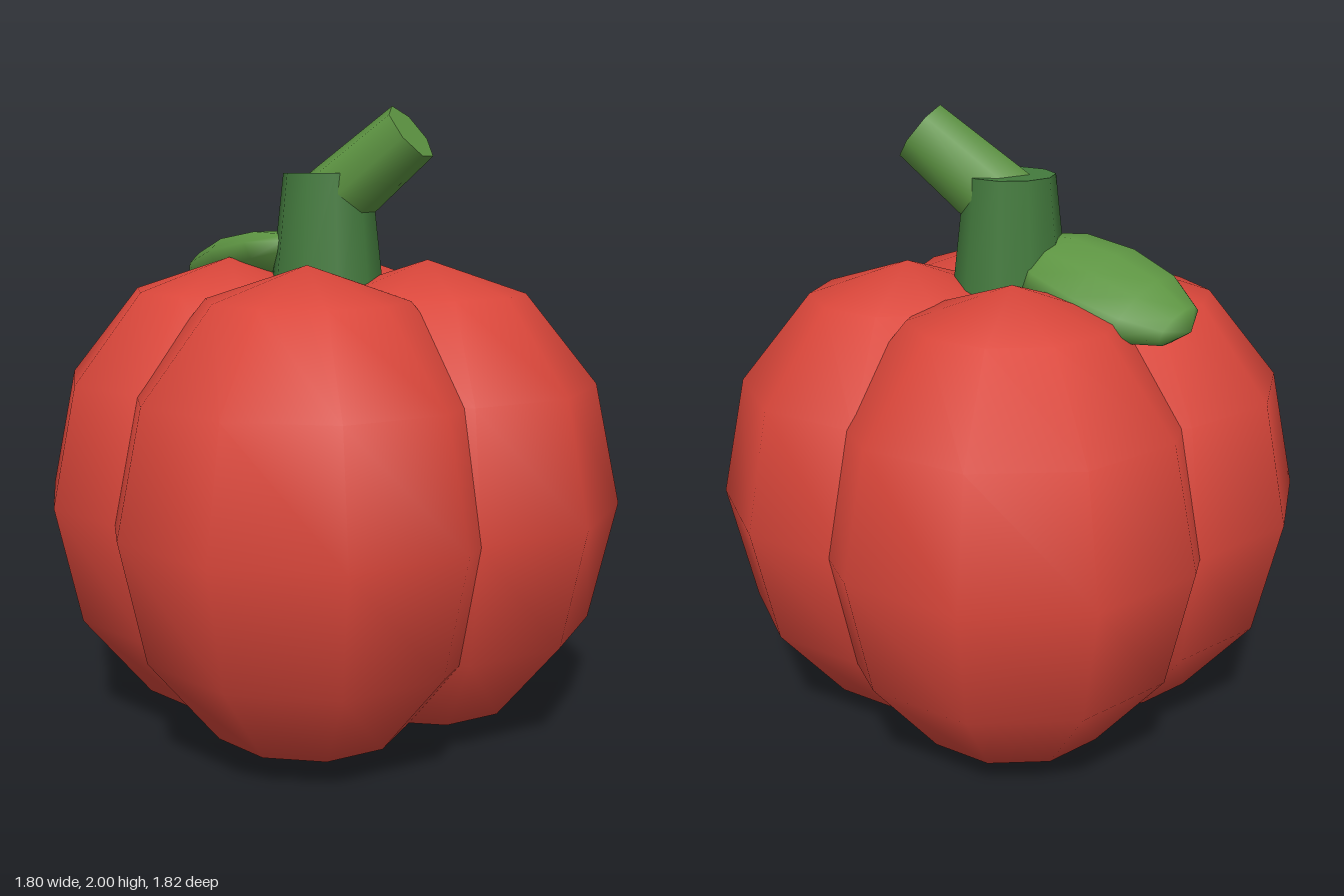
import * as THREE from 'three';

const material = (name, color) => {
  const m = new THREE.MeshStandardMaterial({ color });
  m.name = name;
  return m;
};

export function createModel() {
  const red = material('pumpkin red', 0xd9463a);
  const darkGreen = material('stem green', 0x437a3d);
  const green = material('leaf green', 0x5d9442);

  const model = new THREE.Group();
  model.name = 'pumpkin';
  const add = (name, geometry, mat, parent = model) => {
    const mesh = new THREE.Mesh(geometry, mat);
    mesh.name = name;
    parent.add(mesh);
    return mesh;
  };

  // Body: four overlapping low-poly lobes in a pinwheel
  const body = new THREE.Group();
  body.name = 'body';
  model.add(body);
  const lobe = new THREE.SphereGeometry(1, 10, 6, Math.PI / 2);
  lobe.scale(0.62, 0.765, 0.6);
  const centres = [[0.085, 0.31], [-0.31, 0.085], [-0.085, -0.31], [0.31, -0.085]];
  centres.forEach(([x, z], i) => {
    add(`lobe${i + 1}`, lobe, red, body).position.set(x, 0.768, z);
  });

  // Tapered stem
  add('stem', new THREE.CylinderGeometry(0.14, 0.187, 0.42, 10), darkGreen)
    .position.set(0, 1.59, 0);

  // Cut branch leaning out of the stem, one corner uppermost
  const length = 0.4, lean = THREE.MathUtils.degToRad(51.5);
  const branch = new THREE.CylinderGeometry(0.101, 0.123, length, 7);
  branch.rotateY(-Math.PI / 2).translate(0, -length / 2, 0).rotateZ(-lean);
  add('branch', branch, green).position.set(0.283, 1.921, 0);

  // Leaf: flattened ellipsoid, tip drooping outwards, front edge rolled up
  const leaf = new THREE.SphereGeometry(1, 10, 6);
  leaf.scale(0.19, 0.33, 0.09);
  const along = new THREE.Vector3(-0.88, -0.25, -0.42).normalize();
  const across = new THREE.Vector3(-0.43, 0, 0.9).normalize();
  const up = new THREE.Vector3().crossVectors(across, along).normalize();
  leaf.rotateY(up.y > 0 ? -0.33 : 0.33);
  leaf.applyMatrix4(new THREE.Matrix4().makeBasis(across, along, up));
  add('leaf', leaf, green).position.set(-0.31, 1.49, -0.1);

  return model;
}
